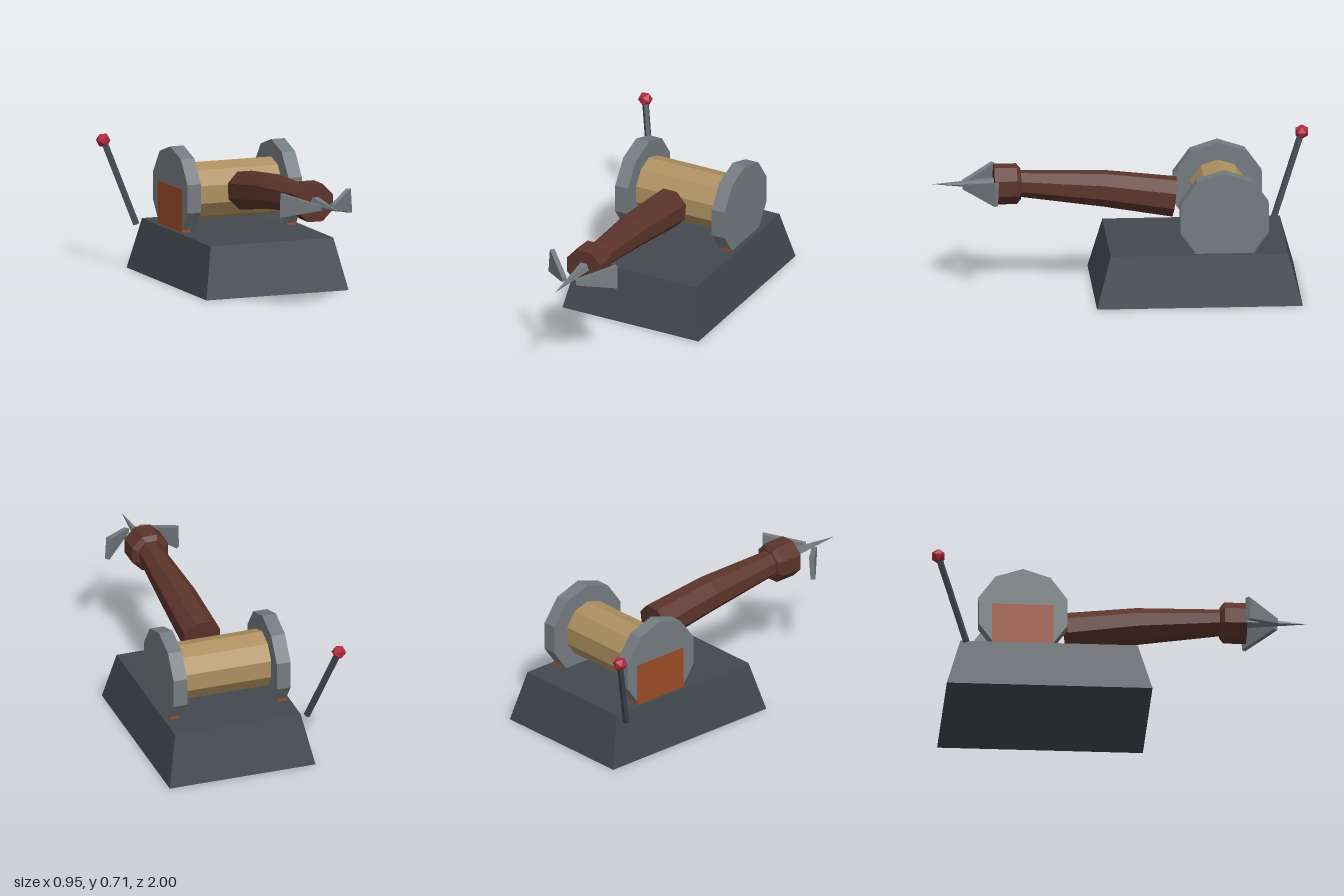
import * as THREE from 'three';

const mat = (name, color) => {
  const m = new THREE.MeshStandardMaterial({ color, flatShading: true });
  m.name = name;
  return m;
};

export function createModel() {
  const group = new THREE.Group();
  const slate = mat('dark slate', 0x434950);
  const steel = mat('steel grey', 0x747b80);
  const tan = mat('rope tan', 0xae9060);
  const brown = mat('dark red brown', 0x5c342b);
  const rust = mat('rust orange', 0x9c4c26);
  const red = mat('knob red', 0xb02840);

  const add = (name, geometry, material, x = 0, y = 0, z = 0) => {
    const mesh = new THREE.Mesh(geometry, material);
    mesh.name = name;
    mesh.position.set(x, y, z);
    group.add(mesh);
    return mesh;
  };

  // Moves every vertex by a rule
  const reshape = (geometry, rule) => {
    const p = geometry.attributes.position;
    const v = new THREE.Vector3();
    for (let i = 0; i < p.count; i++) {
      rule(v.fromBufferAttribute(p, i));
      p.setXYZ(i, v.x, v.y, v.z);
    }
    geometry.computeVertexNormals();
    return geometry;
  };

  const cx = 0.071;

  // Tapered base block
  add('base', reshape(new THREE.BoxGeometry(0.805, 0.27, 1.076), (v) => {
    if (v.y > 0) { v.x *= 0.862; v.z *= 0.862; }
  }), slate, 0.0725, 0.135, -0.377);

  // Winch drum, two end discs and their supports
  const roller = (r, length) => new THREE.CylinderGeometry(r, r, length, 10)
    .rotateY(Math.PI / 10).rotateZ(Math.PI / 2);
  add('drum', roller(0.151, 0.5), tan, cx, 0.459, -0.511);
  for (const side of [-1, 1]) {
    add('drumDisc', roller(0.244, 0.076), steel, cx + side * 0.2855, 0.458, -0.511);
    // supports sit almost flush with the outer disc faces
    const flush = side < 0 ? 0.0015 : -0.0015;
    add('discSupport', new THREE.BoxGeometry(0.053, 0.23, 0.322), rust,
      cx + side * (0.297 + flush), 0.383, -0.512);
  }

  // Eight-sided launcher barrel through three rings: [z, y, apothem, tilt]
  const rings = [[-0.268, 0.488, 0.098, -0.13], [0.1, 0.539, 0.089, -0.04], [0.55, 0.574, 0.064, 0]];
  const octagon = (r1, r2, length, segments = 1) => {
    const k = 1 / Math.cos(Math.PI / 8);
    return new THREE.CylinderGeometry(r1 * k, r2 * k, length, 8, segments)
      .rotateY(Math.PI / 8).rotateX(Math.PI / 2);
  };
  add('barrel', reshape(octagon(1, 1, 2, 2), (v) => {
    const [z, y, r, tilt] = rings[Math.round(v.z) + 1];
    v.x *= r;
    v.z = z + v.y * r * tilt;
    v.y = y + v.y * r;
  }), brown, cx);
  add('collar', octagon(0.099, 0.099, 0.118), brown, cx, 0.573, 0.617);
  add('collarBevel', octagon(0.099, 0.075, 0.022), brown, cx, 0.573, 0.547);

  // Spear point
  add('spearPoint', new THREE.ConeGeometry(0.032, 0.33, 5).rotateX(Math.PI / 2),
    steel, cx, 0.578, 0.835);

  // Swept-back barbs, narrow at the front and broad at the rear
  for (const side of [-1, 1]) {
    const barb = add('barb', reshape(new THREE.BoxGeometry(0.026, 0.128, 0.226), (v) => {
      if (v.z > 0) v.y *= 0.2;
    }), steel, cx + side * 0.113, 0.572, 0.752);
    barb.rotation.set(0, -side * Math.PI / 4, side * 0.06);
  }

  // Lever with a faceted knob
  const foot = new THREE.Vector3(-0.319, 0.244, -0.813);
  const top = new THREE.Vector3(-0.441, 0.674, -0.967);
  const dir = top.clone().sub(foot);
  const lever = add('lever', new THREE.CylinderGeometry(0.018, 0.018, dir.length(), 5), slate);
  lever.position.copy(foot).lerp(top, 0.5);
  lever.quaternion.setFromUnitVectors(new THREE.Vector3(0, 1, 0), dir.normalize());
  add('leverKnob', new THREE.IcosahedronGeometry(0.039, 0), red, top.x, top.y, top.z);

  return group;
}
